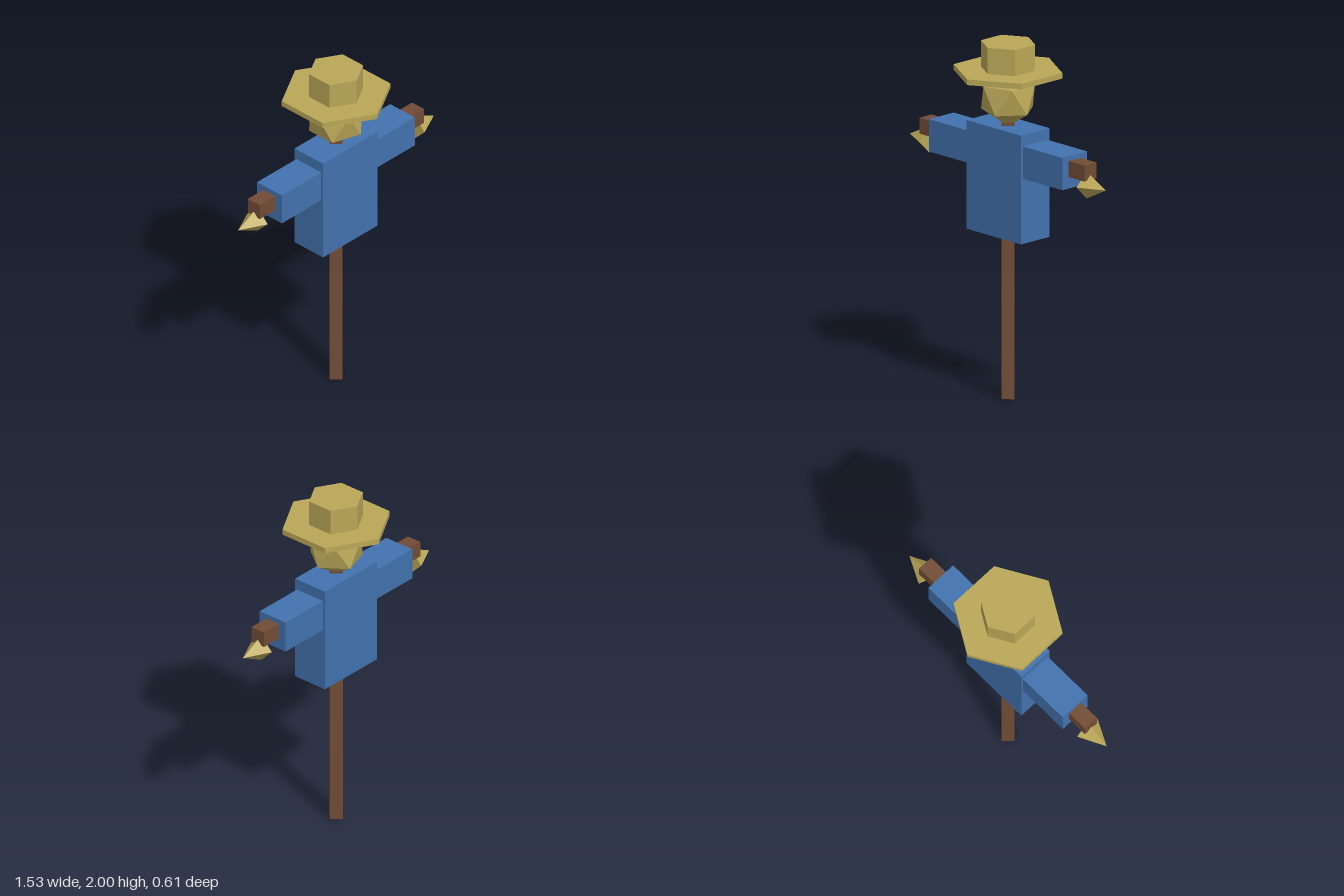
import * as THREE from 'three';

const material = (name, color) => {
  const m = new THREE.MeshStandardMaterial({ color, flatShading: true });
  m.name = name;
  return m;
};

export function createModel() {
  const straw = material('straw', 0xbaa757);
  const cloth = material('blue cloth', 0x4272ae);
  const wood = material('brown wood', 0x714c35);

  const model = new THREE.Group();
  model.name = 'scarecrow';

  const add = (name, geometry, mat, x, y, z = 0) => {
    const mesh = new THREE.Mesh(geometry, mat);
    mesh.name = name;
    mesh.position.set(x, y, z);
    model.add(mesh);
    return mesh;
  };

  // Four-sided pole, corners facing the axes
  add('pole', new THREE.CylinderGeometry(0.05, 0.05, 1.56, 4), wood, 0, 0.78);

  // Shirt body
  add('shirt', new THREE.BoxGeometry(0.426, 0.612, 0.214), cloth, 0, 1.234);

  // Sleeves, crossbar ends and straw hands, mirrored
  for (const [side, s] of [['left', 1], ['right', -1]]) {
    add(side + 'Sleeve', new THREE.BoxGeometry(0.32, 0.182, 0.186), cloth, s * 0.361, 1.386);
    add(side + 'Crossbar', new THREE.BoxGeometry(0.15, 0.09, 0.09), wood, s * 0.568, 1.405);
    const hand = add(side + 'Hand', new THREE.ConeGeometry(0.076, 0.152, 4), straw, s * 0.69, 1.326);
    hand.rotation.z = -s * Math.PI / 2;
  }

  // Icosahedral head standing on one vertex
  const head = add('head', new THREE.IcosahedronGeometry(0.166, 0), straw, 0, 1.695);
  head.rotation.z = Math.atan(2 / (1 + Math.sqrt(5)));

  // Hexagonal hat
  add('hatBrim', new THREE.CylinderGeometry(0.306, 0.306, 0.032, 6), straw, 0, 1.837);
  add('hatCrown', new THREE.CylinderGeometry(0.153, 0.153, 0.15, 6), straw, 0, 1.925);

  return model;
}
